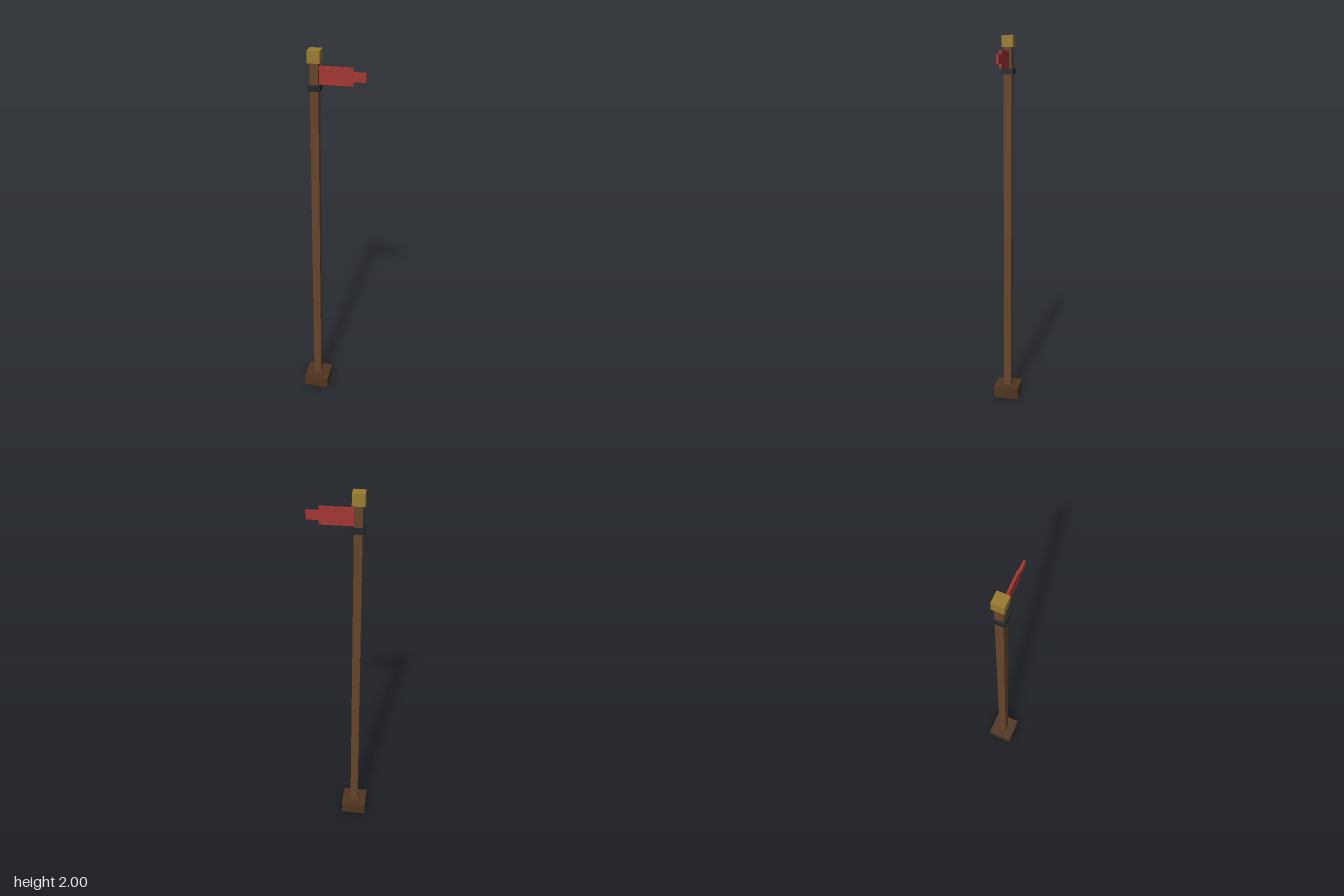
import * as THREE from 'three';

const POLE_X = -0.092;

export function createModel() {
  const model = new THREE.Group();

  // Adds a box spanning y0..y1, centred on x and z = 0
  function addBox(name, color, x, width, y0, y1, depth) {
    const mesh = new THREE.Mesh(
      new THREE.BoxGeometry(width, y1 - y0, depth),
      new THREE.MeshStandardMaterial({ color, flatShading: true })
    );
    mesh.name = name;
    mesh.position.set(x, (y0 + y1) / 2, 0);
    model.add(mesh);
  }

  // Pole with its foot, collar and cap
  addBox('base', 0x4f3520, POLE_X, 0.137, 0, 0.063, 0.137);
  addBox('pole', 0x66452a, POLE_X, 0.042, 0.063, 1.94, 0.042);
  addBox('collar', 0x22262b, POLE_X, 0.062, 1.802, 1.832, 0.062);
  addBox('cap', 0x9a7b30, POLE_X, 0.062, 1.939, 2, 0.062);

  // Stepped pennant flying toward +x
  addBox('flag', 0xa33632, 0.013, 0.168, 1.832, 1.921, 0.012);
  addBox('flagTip', 0xa33632, 0.128, 0.062, 1.854, 1.9, 0.012);

  return model;
}
